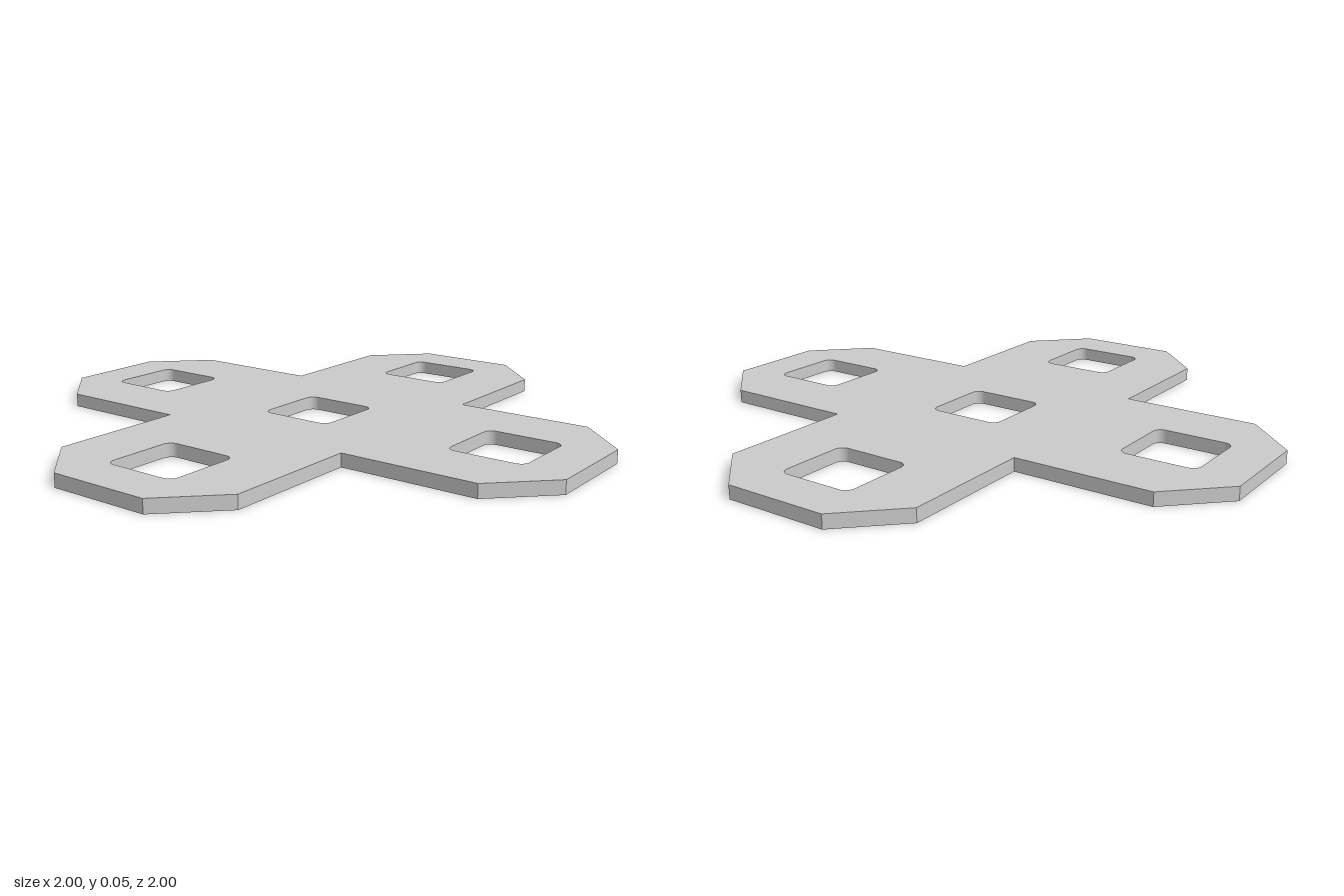
import * as THREE from 'three';

const ARM = 0.356;      // half width of each arm
const CHAMFER = 0.178;  // corner cut at the arm ends
const PITCH = 0.715;    // distance from the centre to the outer holes
const HOLE = 0.131;     // half width of a hole
const RADIUS = 0.03;    // hole corner radius
const THICK = 0.045;

// Rounded square window centred on (cx, cy)
function squareHole(cx, cy) {
  const path = new THREE.Path();
  const k = HOLE - RADIUS;
  [[1, 1], [-1, 1], [-1, -1], [1, -1]].forEach(([sx, sy], i) => {
    const start = i * Math.PI / 2;
    path.absarc(cx + sx * k, cy + sy * k, RADIUS, start, start + Math.PI / 2, false);
  });
  path.closePath();
  return path;
}

export function createModel() {
  const group = new THREE.Group();
  group.name = 'crossPlate';

  // Cross outline: one arm's corners, turned through four quarters
  const arm = [[ARM, -ARM], [1 - CHAMFER, -ARM], [1, -ARM + CHAMFER], [1, ARM - CHAMFER], [1 - CHAMFER, ARM]];
  const outline = [];
  for (let q = 0; q < 4; q++) {
    for (const [x, y] of arm) {
      outline.push(new THREE.Vector2(x, y).rotateAround(new THREE.Vector2(), q * Math.PI / 2));
    }
  }
  const shape = new THREE.Shape(outline);

  // One window in the middle and one in each arm
  for (const [x, y] of [[0, 0], [1, 0], [-1, 0], [0, 1], [0, -1]]) {
    shape.holes.push(squareHole(x * PITCH, y * PITCH));
  }

  // Flat plate lying on the ground
  const geometry = new THREE.ExtrudeGeometry(shape, { depth: THICK, bevelEnabled: false, curveSegments: 8 });
  geometry.rotateX(-Math.PI / 2);
  const plate = new THREE.Mesh(geometry, new THREE.MeshStandardMaterial({ color: 0xcccccc }));
  plate.name = 'plate';
  group.add(plate);
  return group;
}
